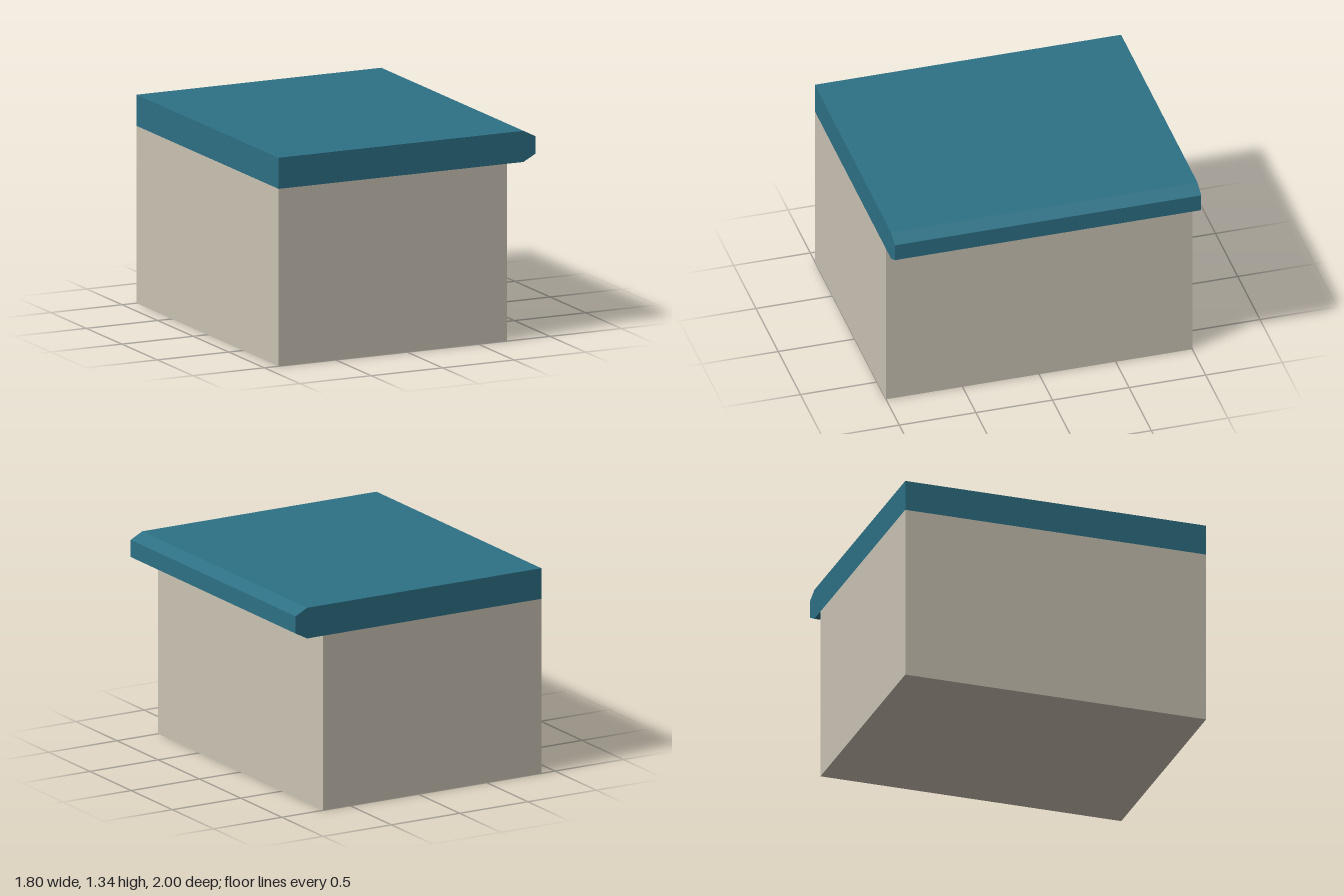
import * as THREE from 'three';

export function createModel() {
  const group = new THREE.Group();
  const cream = new THREE.MeshStandardMaterial({ color: 0xcac3b4 });
  cream.name = 'cream';
  const teal = new THREE.MeshStandardMaterial({ color: 0x2d7085 });
  teal.name = 'teal';

  const depth = 2;
  const bodyHeight = 1.14;

  // Cabinet body, set back on the +x side
  const body = new THREE.Mesh(new THREE.BoxGeometry(1.6, bodyHeight, depth), cream);
  body.name = 'cabinetBody';
  body.position.set(-0.1, bodyHeight / 2, 0);
  group.add(body);

  // Counter slab with a bevelled overhanging edge
  const profile = new THREE.Shape([
    [-0.9, 1.14], [0.815, 1.14], [0.9, 1.185],
    [0.9, 1.297], [0.815, 1.34], [-0.9, 1.34],
  ].map(([x, y]) => new THREE.Vector2(x, y)));
  const slab = new THREE.ExtrudeGeometry(profile, { depth, bevelEnabled: false });
  slab.translate(0, 0, -depth / 2);
  const counter = new THREE.Mesh(slab, teal);
  counter.name = 'counterTop';
  group.add(counter);

  return group;
}
